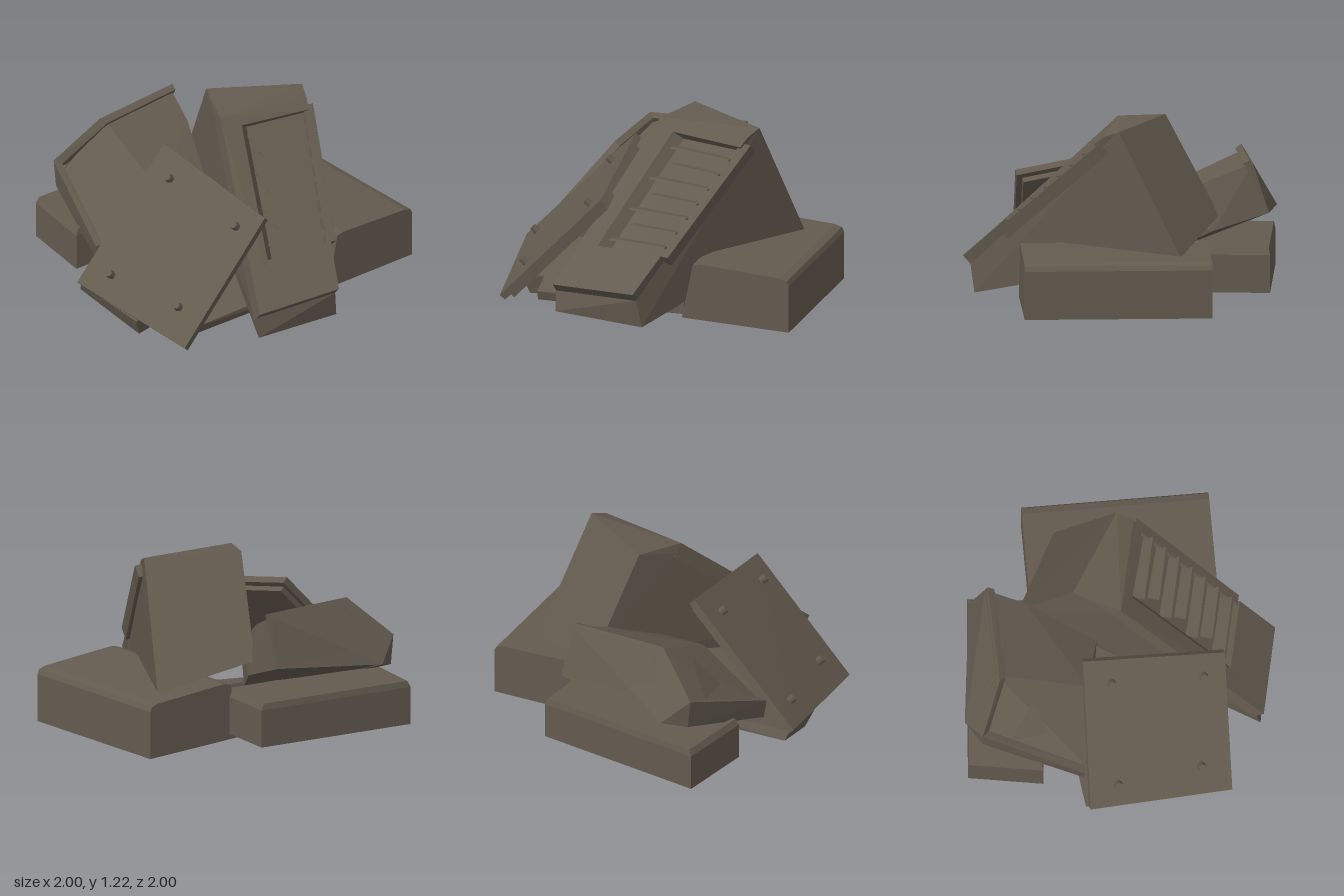
import * as THREE from 'three';
import { ConvexGeometry } from 'three/addons/geometries/ConvexGeometry.js';

const v = (p) => new THREE.Vector3(...p);
const rustyMetal = new THREE.MeshStandardMaterial({ color: 0x645b4f });

export function createModel() {
  const group = new THREE.Group();
  group.name = 'scrapPile';

  const add = (name, geometry) => {
    const mesh = new THREE.Mesh(geometry, rustyMetal);
    mesh.name = name;
    group.add(mesh);
    return mesh;
  };
  // convex block through a handful of corners
  const block = (name, pts) =>
    add(name, new ConvexGeometry(pts.map((p) => (p.isVector3 ? p : v(p)))));

  // helper: a point function over a four-sided, upward-looking face (s along, t across, depth inward)
  const facePoint = (p00, p10, p11, p01) => {
    const [a, b, c, d] = [p00, p10, p11, p01].map(v);
    const n = c.clone().sub(a).cross(d.clone().sub(b)).normalize();
    if (n.y < 0) n.negate();
    const at = (s, t, depth = 0) =>
      a.clone().lerp(b, s).lerp(d.clone().lerp(c, s), t).addScaledVector(n, -depth);
    at.normal = n;
    return at;
  };
  // bar lying on such a face
  const barPoints = (at, s0, s1, t0, t1, d0, d1) => {
    const pts = [];
    for (const s of [s0, s1]) for (const t of [t0, t1]) for (const d of [d0, d1]) pts.push(at(s, t, d));
    return pts;
  };

  // back slab: rounded profile swept along x
  const slabProfile = [[-0.3, 0.1], [-1, 0.065], [-1, 0.37], [-0.985, 0.4], [-0.94, 0.415], [-0.42, 0.46], [-0.37, 0.45]];
  block('backSlab', [-0.52, 0.66].flatMap((x) => slabProfile.map(([z, y]) => [x, y, z])));

  // side slab lying under the tray
  const sideCorners = [[-0.91, -0.42], [-0.45, -0.37], [-0.53, 0.76], [-1, 0.68]];
  block('sideSlab', sideCorners.flatMap(([x, z]) => {
    const k = 0.965;
    return [[x, 0.13, z], [x, 0.37, z], [-0.72 + (x + 0.72) * k, 0.41, 0.15 + (z - 0.15) * k]];
  }));

  // leaning cabinet with a recessed louvred face
  const face = facePoint([0.15, 1.15, -0.57], [1, 0.33, -0.08], [0.88, 0.31, 0.48], [0.02, 1.19, 0.04]);
  block('cabinetBody', [
    [-0.33, 0.42, -0.8], [0.05, 1.19, -0.62], [0.93, 0.1, -0.12],
    [-0.6, 0.6, -0.24], [-0.27, 1.22, -0.1], [0.86, 0.13, 0.47],
    face(0, 0, 0.07), face(1, 0, 0.07), face(1, 1, 0.07), face(0, 1, 0.07),
  ]);
  block('cabinetCrown', [
    [0.05, 1.19, -0.62], [-0.27, 1.22, -0.1], ...barPoints(face, 0, 0.06, 0, 1, 0, 0.07),
  ]);
  block('cabinetFrontRim', [
    face(0, 0.78), face(0, 1), face(1, 0.78), face(1, 1),
    face(0, 0.66, 0.08), face(1, 0.66, 0.08), face(0, 1, 0.1), face(1, 1, 0.1),
  ]);
  block('cabinetBackRim', barPoints(face, 0.03, 0.75, -0.07, 0.04, 0.015, 0.1));
  block('cabinetFoot', barPoints(face, 0.75, 1, 0, 1, 0, 0.1));
  // louvre slats, alternately longer and shorter
  for (let i = 0; i < 7; i++) {
    const s = 0.09 + i * 0.093;
    const t = i % 2 ? 0.6 : 0.7;
    block('louvre', [0.02, t].flatMap((e) => [
      face(s, e, 0.08), face(s + 0.012, e, 0.08), face(s + 0.05, e, 0), face(s + 0.062, e, 0),
    ]));
  }

  // tilted tray resting on the side slab
  block('trayBody', [
    [-0.79, 0.93, 0.3], [-0.81, 0.93, -0.27], [-0.91, 0.62, -0.3], [-0.99, 0.56, 0.44],
    [-0.9, 0.52, 0.58], [-0.87, 0.61, 0.57], [-0.3, 0.31, 0.78], [-0.26, 0.4, 0.76], [-0.22, 0.66, 0.33],
    [-0.13, 0.58, 0.0], [-0.3, 0.35, -0.1], [-0.56, 0.82, -0.2], [-0.56, 0.5, -0.26],
  ]);
  // raised walls around the tray's open side
  block('trayFrontWall', [
    [-0.9, 0.7, 0.62], [-0.86, 0.68, 0.58], [-1, 0.55, 0.46], [-0.9, 0.51, 0.6],
    [-0.28, 0.43, 0.82], [-0.27, 0.43, 0.77], [-0.28, 0.3, 0.8], [-0.28, 0.31, 0.74],
  ]);
  block('trayEndWall', [
    [-0.77, 0.955, 0.35], [-0.73, 0.93, 0.32], [-0.79, 0.95, -0.28], [-0.75, 0.93, -0.27],
    [-0.9, 0.7, 0.62], [-0.86, 0.68, 0.58], [-1, 0.55, 0.46], [-0.91, 0.62, -0.3],
  ]);
  // torn metal flap
  block('tornFlap', [[-0.58, 0.8, 0.46], [-0.72, 0.62, 0.63], [-0.48, 0.6, 0.6], [-0.6, 0.62, 0.5]]);

  // front cover plate with four bolts
  const plate = facePoint([-0.255, 0.25, 1], [0.645, 0.13, 0.9], [0.655, 0.82, 0.235], [-0.24, 0.985, 0.28]);
  block('coverPlate', barPoints(plate, 0, 1, 0, 1, 0, 0.045));
  block('coverPlateBacking', barPoints(plate, 0.04, 0.96, 0.04, 0.96, 0.04, 0.08));
  const up = new THREE.Vector3(0, 1, 0);
  for (const [s, t] of [[0.19, 0.845], [0.84, 0.845], [0.2, 0.15], [0.79, 0.205]]) {
    const bolt = add('bolt', new THREE.CylinderGeometry(0.024, 0.03, 0.05, 6));
    bolt.position.copy(plate(s, t, -0.018));
    bolt.quaternion.setFromUnitVectors(up, plate.normal);
  }

  // planks underneath
  block('lowerPlank', [
    [-0.28, 0.17, 0.95], [-0.25, 0.23, 0.97], [0.16, 0, 0.85], [0.19, 0.12, 0.9],
    [-0.45, 0.3, -0.3], [-0.45, 0.22, -0.3], [0.1, 0.1, -0.45], [0.1, 0.2, -0.45],
  ]);
  block('shortPlank', [
    [0.15, 0.13, 0.72], [0.17, 0.2, 0.72], [0.48, 0.07, 0.7], [0.5, 0.13, 0.7],
    [0.1, 0.2, -0.3], [0.1, 0.27, -0.3], [0.62, 0.11, -0.3], [0.62, 0.18, -0.3],
  ]);

  return group;
}
